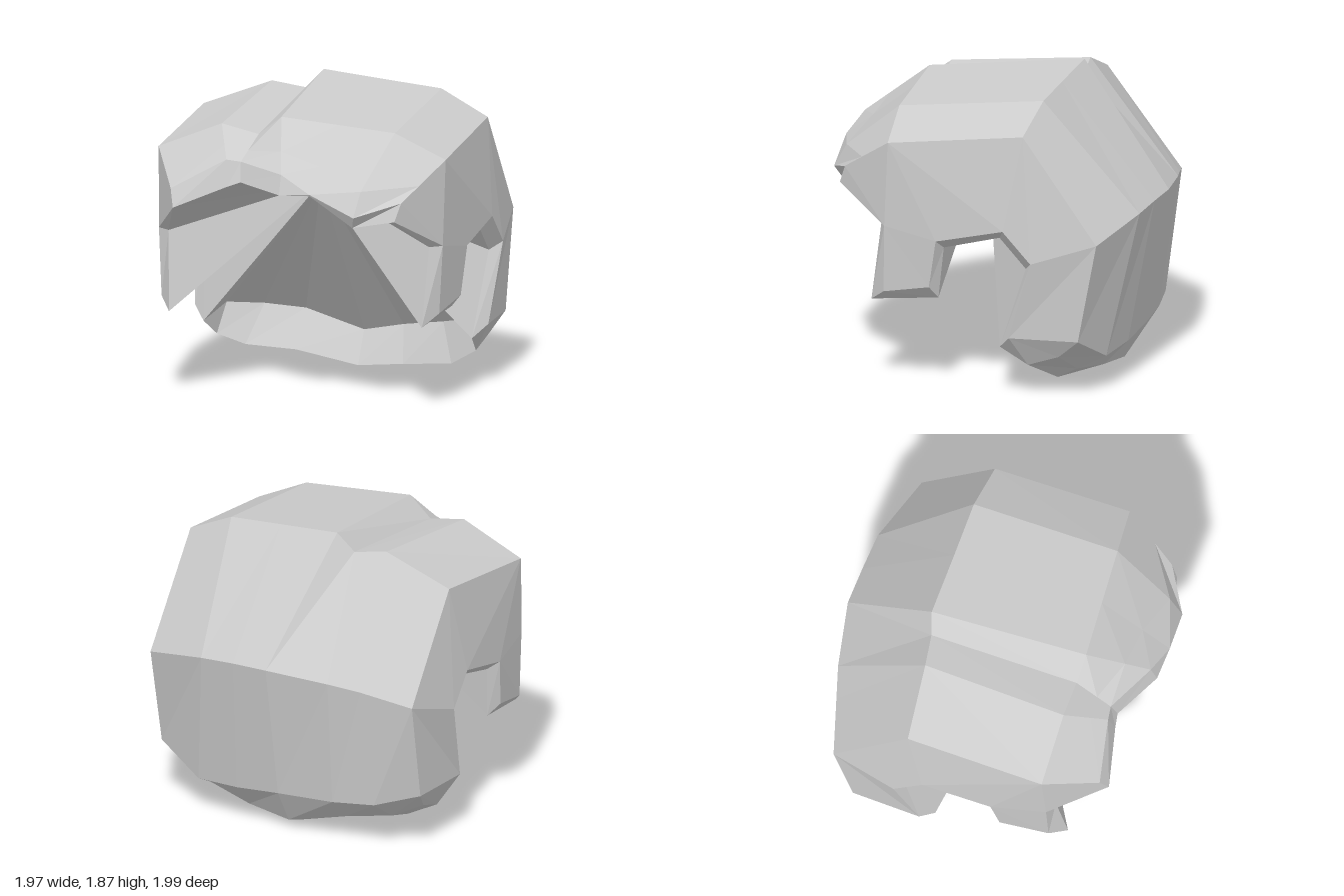
import * as THREE from 'three';

// Sections across the shell, each running from -x to +x
const hemLower = [[-.71, 1.22, .88], [-.38, 1.36, .82], [-.30, 1.39, .81], [0, 1.36, .97], [.2, 1.37, .985], [.46, 1.18, .94], [.71, 1.22, .88]];
const hemUpper = [[-.74, 1.33, .83], [-.40, 1.52, .78], [-.31, 1.51, .77], [0, 1.48, .93], [.2, 1.38, .99], [.48, 1.25, .985], [.74, 1.33, .84]];
const crownFront = [[-.92, 1.52, .515], [-.51, 1.69, .53], [-.27, 1.64, .54], [-.12, 1.76, .555], [.24, 1.73, .545], [.6, 1.70, .535], [.92, 1.55, .515]];
const crownBack = [[-.91, 1.62, -.34], [-.48, 1.785, -.36], [-.27, 1.75, -.385], [-.165, 1.865, -.415], [.24, 1.83, -.395], [.6, 1.80, -.38], [.91, 1.65, -.34]];
const backMiddle = [[-.92, 1, -.81], [-.6, 1.07, -.89], [-.4, 1.1, -.94], [0, 1.13, -1], [.24, 1.12, -.98], [.48, 1.1, -.955], [.92, 1, -.81]];
const backLower = [[-.91, .38, -.69], [-.64, .3, -.79], [-.37, .28, -.83], [0, .27, -.85], [.3, .24, -.83], [.6, .22, -.78], [.91, .38, -.69]];
const napeOuter = [[-.85, .26, -.55], [-.66, .17, -.6], [-.37, .13, -.67], [0, .05, -.72], [.3, .08, -.68], [.62, .13, -.6], [.85, .26, -.55]];
const napeInner = [[-.83, .19, -.35], [-.67, .12, -.42], [-.37, .09, -.5], [0, 0, -.58], [.3, .035, -.54], [.63, .07, -.48], [.83, .19, -.35]];
const cavityBack = [[-.8, .37, -.45], [-.6, .35, -.58], [-.36, .32, -.66], [0, .2, -.7], [.27, .26, -.65], [.55, .31, -.57], [.8, .37, -.45]];

// Side edge around the sideburn and ear notch, for the +x side
const sideOuter = [[.91, 1.02, .54], [.89, .6, .55], [.93, .66, .25], [.955, .96, .2], [.975, 1.06, -.23], [.985, .87, -.41], [.94, .38, -.26]];
const sideInner = [[.835, 1.015, .58], [.81, .525, .65], [.86, .58, .21], [.88, .905, .17], [.9, 1, -.19], [.91, .82, -.36], [.86, .3, -.18]];
const apex = [0, 1.28, .15];

const lerp = (a, b, t) => a.map((v, i) => v + (b[i] - v) * t);
const mirror = ([x, y, z]) => [-x, y, z];

// Collects polygons (fanned into triangles) and makes a faceted mesh
function facets(name, polygons) {
  const pos = [];
  for (const p of polygons)
    for (let i = 1; i < p.length - 1; i++) pos.push(...p[0], ...p[i], ...p[i + 1]);
  const geometry = new THREE.BufferGeometry();
  geometry.setAttribute('position', new THREE.Float32BufferAttribute(pos, 3));
  geometry.computeVertexNormals();
  const mesh = new THREE.Mesh(geometry, new THREE.MeshStandardMaterial({
    color: 0xcccccc, flatShading: true, side: THREE.DoubleSide,
  }));
  mesh.name = name;
  return mesh;
}

// Quads between neighbouring sections
function loft(rows) {
  const out = [];
  for (let i = 0; i < rows.length - 1; i++)
    for (let j = 0; j < rows[i].length - 1; j++)
      out.push([rows[i][j], rows[i][j + 1], rows[i + 1][j + 1], rows[i + 1][j]]);
  return out;
}

function sidePanel(name, sign) {
  const end = row => row[sign > 0 ? row.length - 1 : 0];
  const [T, L, F, K, M, B, C, D, E] = [hemUpper, hemLower, crownFront, crownBack,
    backMiddle, backLower, napeOuter, napeInner, cavityBack].map(end);
  const o = sign > 0 ? sideOuter : sideOuter.map(mirror);
  const n = sign > 0 ? sideInner : sideInner.map(mirror);
  const polys = [
    // outer wall
    [T, L, o[0]], [T, o[0], F], [F, o[0], o[3]], [o[0], o[1], o[2], o[3]],
    [F, o[3], o[4]], [F, o[4], K], [K, o[4], o[5]], [K, o[5], M], [M, o[5], o[6]], [M, o[6], B],
    // lower corner and hem joint
    [o[6], D, C, B], [o[6], n[6], D], [n[6], E, D], [L, n[0], o[0]],
  ];
  // thickness along the sideburn and ear notch
  for (let i = 0; i < o.length - 1; i++) polys.push([o[i], n[i], n[i + 1], o[i + 1]]);
  return facets(name, sign > 0 ? polys : polys.map(p => [...p].reverse()));
}

export function createModel() {
  const group = new THREE.Group();
  group.name = 'hair';

  // Fringe, crown, back and nape
  const brow = hemUpper.map((p, i) => lerp(p, crownFront[i], .4));
  brow[5] = [.5, 1.4, .9];
  group.add(facets('outerShell', loft([hemLower, hemUpper, brow, crownFront, crownBack,
    backMiddle, backLower, napeOuter, napeInner, cavityBack])));

  // Sides with sideburns and ear notches
  group.add(sidePanel('leftSide', 1), sidePanel('rightSide', -1));

  // Hollow underside closing to a single point
  const rim = [...hemLower, ...sideInner, ...[...cavityBack].reverse(),
    ...sideInner.map(mirror).reverse()];
  group.add(facets('innerCavity', rim.map((p, i) => [apex, rim[(i + 1) % rim.length], p])));

  return group;
}
